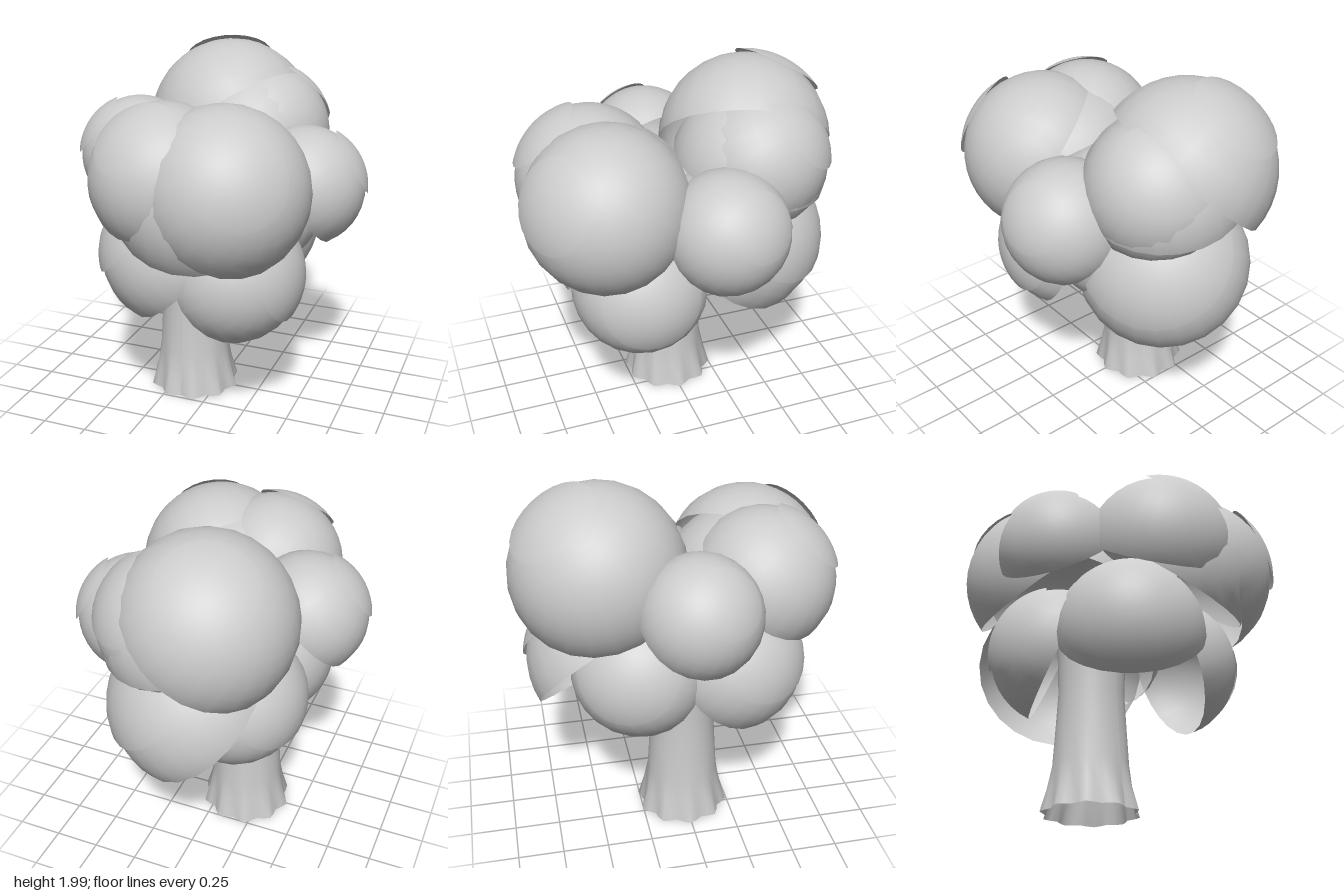
import * as THREE from 'three';

const mat = new THREE.MeshStandardMaterial({ color: 0xcccccc, side: THREE.DoubleSide });
const UP = new THREE.Vector3(0, 1, 0);

// Open spherical shell whose pole points along axis
function shell(name, radius, angle, axis) {
  const geo = new THREE.SphereGeometry(radius, 24, 10, 0, Math.PI * 2, 0, THREE.MathUtils.degToRad(angle));
  const mesh = new THREE.Mesh(geo, mat);
  mesh.name = name;
  mesh.quaternion.setFromUnitVectors(UP, new THREE.Vector3(...axis).normalize());
  return mesh;
}

// Foliage clump: a half-sphere, with a smaller raised cap on the outer ones
function clump({ name, at, r, axis, cap, capAxis = axis }) {
  const g = new THREE.Group();
  g.name = name;
  g.position.set(...at);
  g.add(shell(name + 'Dome', r, 90, axis));
  if (cap) g.add(shell(name + 'Cap', r * 1.04, cap, capAxis));
  return g;
}

const clumps = [
  // upper tier
  { name: 'frontLeftFoliage', at: [0.19, 1.35, 0.43], r: 0.45, axis: [0.62, 0.55, 0.52], cap: 32, capAxis: [0.47, 0.42, 0.78] },
  { name: 'frontRightFoliage', at: [-0.12, 1.39, 0.44], r: 0.4, axis: [-0.36, 0.74, 0.5], cap: 33, capAxis: [-0.16, 0.7, 0.62] },
  { name: 'leftFoliage', at: [0.455, 1.25, -0.13], r: 0.335, axis: [0.86, 0.48, -0.1], cap: 33, capAxis: [0.82, 0.48, -0.25] },
  { name: 'rightFoliage', at: [-0.46, 1.38, 0.02], r: 0.33, axis: [-0.7, 0.66, 0.2], cap: 33, capAxis: [-0.7, 0.55, 0.28] },
  { name: 'backTopFoliage', at: [-0.08, 1.5, -0.44], r: 0.475, axis: [-0.62, 0.74, -0.24], cap: 31, capAxis: [-0.24, 0.76, -0.52] },
  { name: 'backLeftFoliage', at: [0.11, 1.46, -0.44], r: 0.385, axis: [0.52, 0.6, -0.55], cap: 40, capAxis: [0.4, 0.65, -0.6] },
  // broad layers filling the middle of the crown
  { name: 'frontCentreFoliage', at: [0.05, 1.28, 0.38], r: 0.46, axis: [0.08, 0.8, 0.6] },
  { name: 'backCentreFoliage', at: [0.05, 1.41, -0.42], r: 0.43, axis: [0.2, 0.9, -0.2] },
  // lower tier
  { name: 'lowerFrontLeftFoliage', at: [0.18, 0.845, 0.26], r: 0.38, axis: [0.7, 0.38, 0.48], cap: 43, capAxis: [0.88, 0.2, 0.08] },
  { name: 'lowerFrontRightFoliage', at: [-0.15, 0.92, 0.27], r: 0.4, axis: [-0.62, 0.6, 0.48], cap: 45, capAxis: [-0.7, 0.55, 0.35] },
  { name: 'lowerLeftFoliage', at: [0.2, 1.08, -0.2], r: 0.33, axis: [0.8, 0.6, 0] },
  { name: 'lowerBackFoliage', at: [0, 0.94, -0.38], r: 0.47, axis: [0.55, 0.7, -0.45], cap: 55, capAxis: [0.6, 0.65, -0.45] },
  { name: 'lowerBackRightFoliage', at: [-0.16, 0.94, -0.24], r: 0.385, axis: [-0.65, 0.38, -0.55], cap: 45, capAxis: [-0.7, 0.35, -0.3] },
];

// Trunk: lathe profile whose foot flares into root lobes
function trunk() {
  const profile = [[0.245, 0], [0.22, 0.12], [0.2, 0.25], [0.188, 0.45], [0.177, 0.65], [0.185, 0.85], [0.2, 1.05]];
  const geo = new THREE.LatheGeometry(profile.map(([r, y]) => new THREE.Vector2(r, y)), 40);
  const p = geo.attributes.position;
  for (let i = 0; i < p.count; i++) {
    const x = p.getX(i), y = p.getY(i), z = p.getZ(i);
    const flute = 1 + 0.07 * Math.max(0, 1 - y / 0.25) * Math.cos(10 * Math.atan2(z, x));
    p.setXYZ(i, x * flute, y, z * flute);
  }
  geo.computeVertexNormals();
  const mesh = new THREE.Mesh(geo, mat);
  mesh.name = 'trunk';
  mesh.position.set(-0.152, 0, -0.005);
  return mesh;
}

export function createModel() {
  const tree = new THREE.Group();
  tree.name = 'tree';
  tree.add(trunk(), ...clumps.map(clump));
  return tree;
}
